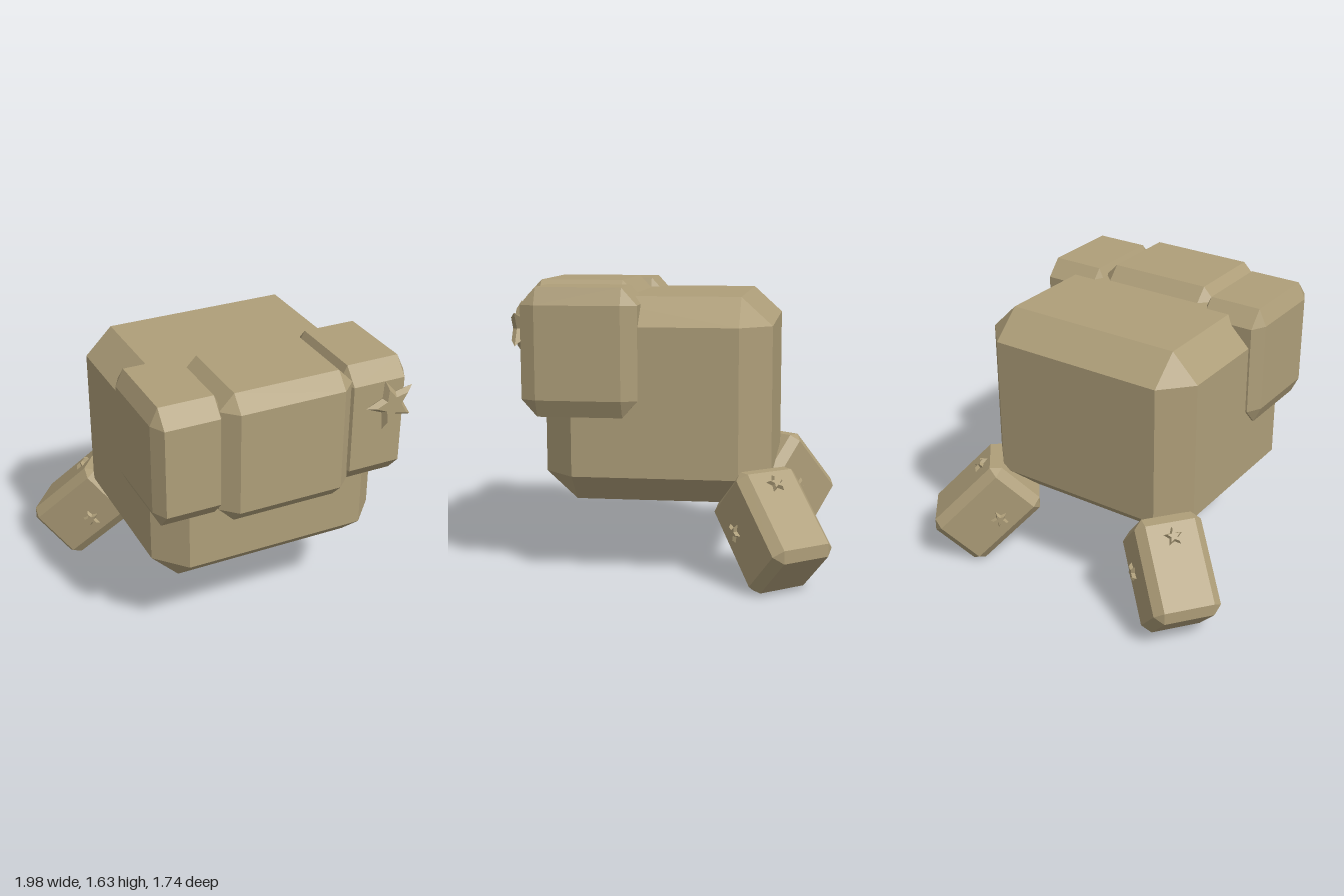
import * as THREE from 'three';
import { ConvexGeometry } from 'three/addons/geometries/ConvexGeometry.js';

// Box with flat chamfers: half sizes h and chamfer depth c along each axis
function chamferBox(h, c) {
  const points = [];
  for (const x of [-1, 1]) for (const y of [-1, 1]) for (const z of [-1, 1]) {
    for (let face = 0; face < 3; face++) {
      const p = h.map((v, axis) => (axis === face ? v : v - c[axis]));
      points.push(new THREE.Vector3(x * p[0], y * p[1], z * p[2]));
    }
  }
  return new ConvexGeometry(points);
}

// Five-pointed stud, bevelled front and back, first point toward -x
function starGeometry(radius, half) {
  const rings = [[0, -half], [0.68, -half], [1, 0], [0.68, half], [0, half]];
  const at = ([scale, z], i) => {
    const a = Math.PI + (i * Math.PI) / 5;
    const r = radius * scale * (i % 2 ? 0.46 : 1);
    return [Math.cos(a) * r, Math.sin(a) * r, z];
  };
  const positions = [];
  for (let k = 0; k < rings.length - 1; k++) {
    for (let i = 0; i < 10; i++) {
      const a = at(rings[k], i), b = at(rings[k], i + 1);
      const c = at(rings[k + 1], i + 1), d = at(rings[k + 1], i);
      if (rings[k][0] > 0) positions.push(...a, ...b, ...c);
      if (rings[k + 1][0] > 0) positions.push(...a, ...c, ...d);
      else positions.splice(positions.length - 9, 9, ...a, ...b, ...c);
    }
  }
  const geometry = new THREE.BufferGeometry();
  geometry.setAttribute('position', new THREE.Float32BufferAttribute(positions, 3));
  geometry.computeVertexNormals();
  return geometry;
}

export function createModel() {
  const model = new THREE.Group();
  model.name = 'model';
  const tan = new THREE.MeshStandardMaterial({ color: 0xae9e79, flatShading: true });
  tan.name = 'tan';

  function add(parent, name, geometry, x, y, z) {
    const mesh = new THREE.Mesh(geometry, tan);
    mesh.name = name;
    mesh.position.set(x, y, z);
    parent.add(mesh);
    return mesh;
  }

  // Main block and front blocks
  add(model, 'body', chamferBox([0.68, 0.565, 0.625], [0.155, 0.155, 0.17]), 0, 0.985, 0.085);
  add(model, 'frontCentreBlock', chamferBox([0.385, 0.38, 0.315], [0.085, 0.088, 0.083]), 0, 1.245, 0.547);
  for (const [side, name] of [[1, 'frontLeftBlock'], [-1, 'frontRightBlock']]) {
    add(model, name, chamferBox([0.198, 0.35, 0.318], [0.045, 0.095, 0.085]), side * 0.538, 1.255, 0.488);
  }
  add(model, 'frontStar', starGeometry(0.153, 0.027), 0.605, 1.38, 0.827);

  // Rear legs, splayed outward, down and back
  const legGeometry = chamferBox([0.29, 0.2, 0.192], [0.05, 0.05, 0.05]);
  const studGeometry = starGeometry(0.056, 0.02);
  const splay = THREE.MathUtils.degToRad(38.5);
  for (const [side, name] of [[1, 'rearLeftLeg'], [-1, 'rearRightLeg']]) {
    const leg = new THREE.Group();
    leg.name = name;
    leg.position.set(side * 0.654, 0.31, -0.554);
    leg.rotation.set(0, side > 0 ? splay : Math.PI - splay, -Math.PI / 4, 'YXZ');
    add(leg, 'leg', legGeometry, 0, 0, 0);
    add(leg, 'topStar', studGeometry, -0.16, 0.2, 0).rotation.x = -Math.PI / 2;
    for (const z of [-0.192, 0.192]) add(leg, 'sideStar', studGeometry, -0.045, -0.06, z);
    model.add(leg);
  }
  return model;
}
